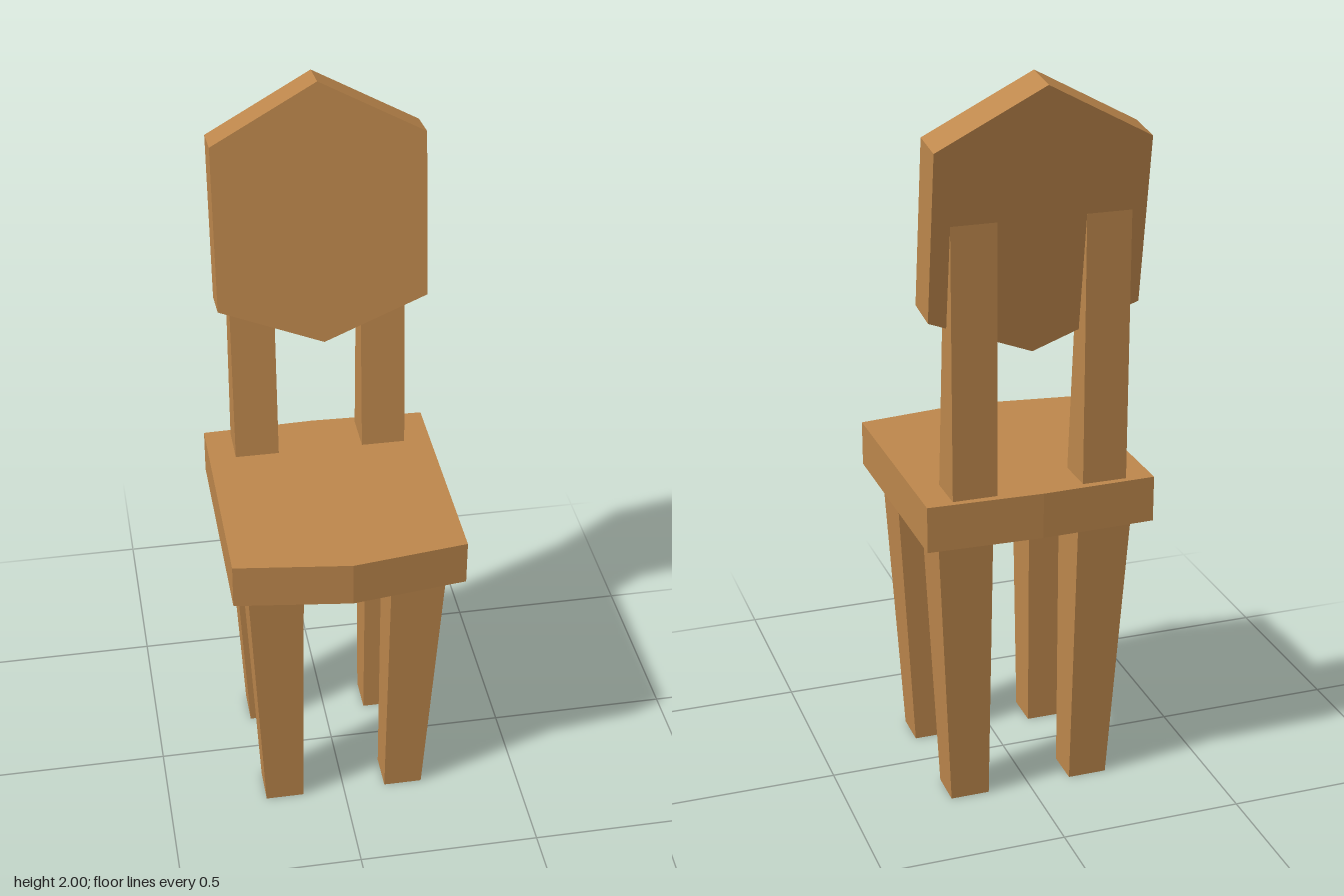
import * as THREE from 'three';

// Box between two rectangles [x0, x1, z0, z1] at heights y0 and y1
function taperedBox(y0, y1, bottom, top) {
  const geo = new THREE.BoxGeometry(1, 1, 1);
  const p = geo.attributes.position;
  for (let i = 0; i < p.count; i++) {
    const up = p.getY(i) > 0;
    const r = up ? top : bottom;
    p.setXYZ(i, p.getX(i) > 0 ? r[1] : r[0], up ? y1 : y0, p.getZ(i) > 0 ? r[3] : r[2]);
  }
  geo.computeVertexNormals();
  return geo;
}

// Flat slab from a 2D outline
function slab(points, depth) {
  const shape = new THREE.Shape(points.map(([x, y]) => new THREE.Vector2(x, y)));
  return new THREE.ExtrudeGeometry(shape, { depth, bevelEnabled: false });
}

export function createModel() {
  const group = new THREE.Group();
  const wood = new THREE.MeshStandardMaterial({ color: 0xbd874c });
  const add = (name, geo) => {
    const mesh = new THREE.Mesh(geo, wood);
    mesh.name = name;
    group.add(mesh);
    return mesh;
  };

  // Seat with a pointed front and a barely bowed back
  const seat = slab([[-0.31, -0.307], [0, -0.348], [0.31, -0.307],
    [0.31, 0.312], [0, 0.322], [-0.31, 0.312]], 0.125);
  seat.rotateX(-Math.PI / 2);
  add('seat', seat).position.y = 0.795;

  for (const sx of [-1, 1]) {
    const side = sx > 0 ? 'left' : 'right';
    const span = (a, b) => (sx > 0 ? [a, b] : [-b, -a]);

    // Legs taper on their outer faces only
    for (const sz of [-1, 1]) {
      const depth = (a, b) => (sz > 0 ? [a, b] : [-b, -a]);
      add(`${side}${sz > 0 ? 'Front' : 'Back'}Leg`, taperedBox(0, 0.8,
        [...span(0.118, 0.225), ...depth(0.118, 0.222)],
        [...span(0.118, 0.267), ...depth(0.118, 0.265)]));
    }

    // Back posts: upright rear face, sloped front face, ending inside the backrest
    add(`${side}BackPost`, taperedBox(0.91, 1.74,
      [...span(0.117, 0.237), -0.297, -0.18],
      [...span(0.117, 0.237), -0.297, -0.256]));
  }

  // Leaning hexagonal backrest, pivoting on the lower tip of its front face
  const back = slab([[0, 0], [0.28, 0.111], [0.28, 0.56],
    [0, 0.711], [-0.28, 0.56], [-0.28, 0.111]], 0.106);
  back.translate(0, 0, -0.106);
  const backrest = add('backrest', back);
  backrest.rotation.x = -0.148;
  backrest.position.set(0.005, 1.297, -0.138);

  return group;
}
